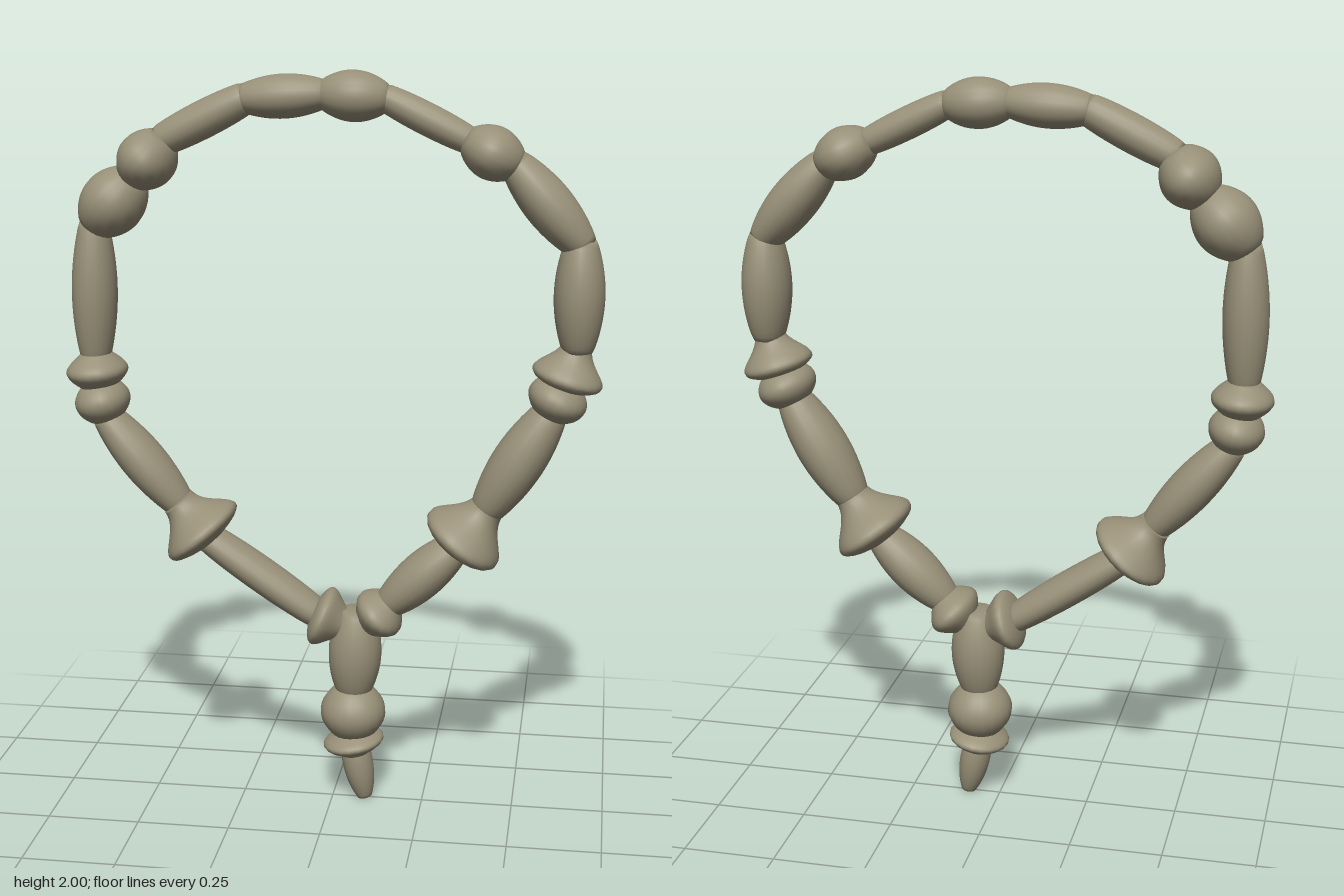
import * as THREE from 'three';

// Share of the full radius at position t (0..1) along a bead
const swell = (base, power) => (t) => base + (1 - base) * Math.pow(Math.max(0, Math.sin(Math.PI * t)), power);
const barrel = swell(0.6, 0.8);
const tube = swell(0.75, 0.5);
const round = swell(0.4, 0.7);
const disc = swell(0.5, 1.2);
const brimFirst = (t) => swell(0.4, 2)(Math.sqrt(t));
const brimLast = (t) => brimFirst(1 - t);
const tip = (t) => Math.pow(Math.sin(Math.PI * (0.3 + 0.6 * t)), 0.6);

const OVERLAP = 0.012;

// Turned bead with closed ends, laid between two points of the front plane
function makeBead(name, shape, from, to, radius, depth, material) {
  const axis = to.clone().sub(from);
  const length = axis.length() + 2 * OVERLAP;
  const steps = 20;
  const points = [new THREE.Vector2(0, 0)];
  for (let i = 0; i <= steps; i++) {
    const t = i / steps;
    points.push(new THREE.Vector2(radius * shape(t), length * t));
  }
  points.push(new THREE.Vector2(0, length));
  const mesh = new THREE.Mesh(new THREE.LatheGeometry(points, 20), material);
  mesh.name = name;
  axis.normalize();
  mesh.position.set(from.x - axis.x * OVERLAP, from.y - axis.y * OVERLAP, 0);
  mesh.rotation.z = axis.angle() - Math.PI / 2;
  mesh.scale.z = depth;
  return mesh;
}

// Chain of beads, each running from the end of the one before it
function makeStrand(name, startX, startY, material, addBeads) {
  const strand = new THREE.Group();
  strand.name = name;
  let from = new THREE.Vector2(startX, startY);
  addBeads((beadName, shape, x, y, radius, depth = 1.2) => {
    const to = new THREE.Vector2(x, y);
    strand.add(makeBead(beadName, shape, from, to, radius, depth, material));
    from = to;
  });
  return strand;
}

export function createModel() {
  const stone = new THREE.MeshStandardMaterial({ color: 0x989078 });
  stone.name = 'olive stone';
  const model = new THREE.Group();
  model.name = 'beadNecklace';

  // Right half of the loop, from the crown down to the join
  model.add(makeStrand('rightStrand', -0.028, 1.938, stone, (bead) => {
    bead('crownBarrel', barrel, -0.23, 1.925, 0.057);
    bead('crownTube', tube, -0.45, 1.815, 0.049, 1.1);
    bead('shoulderBead', round, -0.53, 1.715, 0.078, 1.5);
    bead('ovalBead', round, -0.64, 1.59, 0.085);
    bead('longBarrel', barrel, -0.645, 1.235, 0.06);
    bead('discBead', disc, -0.64, 1.16, 0.082);
    bead('smallBead', round, -0.62, 1.07, 0.074, 1.25);
    bead('slopeBarrel', barrel, -0.42, 0.83, 0.06, 1.25);
    bead('flangeBead', brimLast, -0.345, 0.74, 0.115);
    bead('lowerTube', tube, -0.045, 0.535, 0.047, 1.35);
    bead('flaredBead', brimFirst, 0.045, 0.50, 0.082);
  }));

  // Left half of the loop, from the crown down to the join
  model.add(makeStrand('leftStrand', -0.028, 1.938, stone, (bead) => {
    bead('crownBead', round, 0.135, 1.93, 0.066, 1.14);
    bead('crownTube', tube, 0.35, 1.825, 0.042, 1.1);
    bead('shoulderBead', round, 0.47, 1.765, 0.07, 1.4);
    bead('upperBarrel', barrel, 0.64, 1.565, 0.064, 1.25);
    bead('longBarrel', barrel, 0.64, 1.3, 0.066, 1.25);
    bead('bellBead', brimLast, 0.61, 1.2, 0.095, 1.05);
    bead('smallBead', round, 0.575, 1.12, 0.08);
    bead('slopeBarrel', barrel, 0.415, 0.855, 0.07);
    bead('flangeBead', brimLast, 0.335, 0.745, 0.115);
    bead('lowerBarrel', barrel, 0.155, 0.575, 0.063);
    bead('joinDisc', disc, 0.1, 0.515, 0.073, 1.35);
  }));

  // Pendant hanging from the join
  model.add(makeStrand('pendant', 0.065, 0.54, stone, (bead) => {
    bead('pendantBarrel', barrel, 0.058, 0.32, 0.073, 1.05);
    bead('pendantBall', round, 0.055, 0.19, 0.09, 1.02);
    bead('pendantDisc', disc, 0.062, 0.145, 0.084, 1.12);
    bead('pendantTip', tip, 0.088, 0.013, 0.042, 1.12);
  }));
  return model;
}
